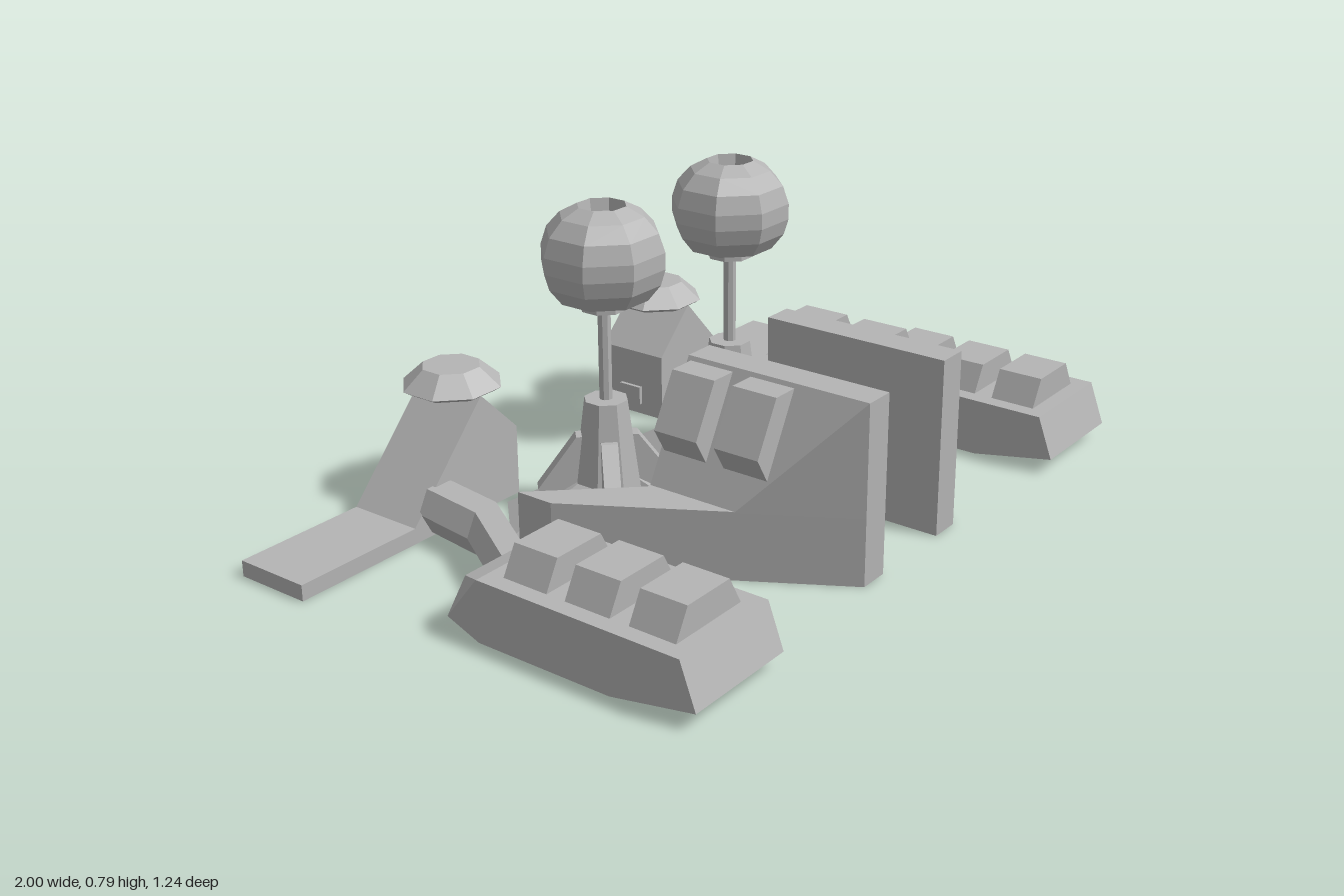
import * as THREE from 'three';
import { ConvexGeometry } from 'three/addons/geometries/ConvexGeometry.js';

const gray = new THREE.MeshStandardMaterial({ color: 0xb4b4b4, flatShading: true, side: THREE.DoubleSide });
gray.name = 'light gray';

const box = (x0, x1, y0, y1, z0, z1) =>
  new THREE.BoxGeometry(x1 - x0, y1 - y0, z1 - z0).translate((x0 + x1) / 2, (y0 + y1) / 2, (z0 + z1) / 2);
const hull = (pts) => new ConvexGeometry(pts.map((p) => new THREE.Vector3(...p)));
const prism = (pts, depth) =>
  new THREE.ExtrudeGeometry(new THREE.Shape(pts.map((p) => new THREE.Vector2(...p))), { depth, bevelEnabled: false });
// Eight-sided turned shape with flat sides facing the axes; radii measured across the flats
const turned = (profile, x, z) =>
  new THREE.LatheGeometry(profile.map(([r, y]) => new THREE.Vector2(r / Math.cos(Math.PI / 8), y)), 8, Math.PI / 8)
    .translate(x, 0, z);

// Mirror in x and restore the facing of every triangle
function mirrored(geometry) {
  const g = geometry.index ? geometry.toNonIndexed() : geometry.clone();
  g.scale(-1, 1, 1);
  const p = g.attributes.position;
  const a = new THREE.Vector3(), b = new THREE.Vector3();
  for (let i = 0; i < p.count; i += 3) {
    a.fromBufferAttribute(p, i + 1);
    b.fromBufferAttribute(p, i + 2);
    p.setXYZ(i + 1, b.x, b.y, b.z);
    p.setXYZ(i + 2, a.x, a.y, a.z);
  }
  g.computeVertexNormals();
  return g;
}

export function createModel() {
  const model = new THREE.Group();
  model.name = 'model';
  const left = new THREE.Group(), right = new THREE.Group();
  left.name = 'leftHalf';
  right.name = 'rightHalf';
  model.add(left, right);
  const add = (name, geometry) => {
    for (const [group, g] of [[left, geometry], [right, mirrored(geometry)]]) {
      const mesh = new THREE.Mesh(g, gray);
      mesh.name = name;
      group.add(mesh);
    }
  };

  // Long pod: side profile with sloped nose, and a tapered tail
  const pod = [];
  for (const [z, y, inset] of [[0.62, 0.04, 0], [0.58, 0.148, 0], [0.4, 0, 0], [0.04, 0, 0],
    [0.04, 0.15, 0], [-0.02, 0.13, 0.03], [-0.05, 0.035, 0]]) {
    pod.push([0.6 + inset, y, z], [0.9 - inset, y, z]);
  }
  add('pod', hull(pod));
  for (const z of [0.08, 0.25, 0.42]) {
    add('podBlock', prism([[0.64, 0.145], [0.86, 0.145], [0.82, 0.218], [0.68, 0.218]], 0.12).translate(0, 0, z));
  }

  // Bent six-sided arm joining pod and tower
  const stations = [[0.71, -0.03], [0.585, -0.23], [0.56, -0.41]];
  const section = ([x, z]) => [[-0.035, 0.12], [0.035, 0.12], [-0.065, 0.065], [0.065, 0.065], [-0.035, 0.01], [0.035, 0.01]]
    .map(([dx, y]) => [x + dx, y, z]);
  for (let i = 0; i < 2; i++) add('arm', hull([...section(stations[i]), ...section(stations[i + 1])]));

  // Gabled tower running out into a flat wing, hollowed underneath
  add('towerAndWing', prism([[0.29, 0.02], [1, 0.02], [1, 0.04], [0.65, 0.04], [0.41, 0.3], [0.29, 0.18]], 0.2)
    .translate(0, 0, -0.6));
  for (const z of [-0.6, -0.43]) add('wingRim', box(0.29, 1, 0, 0.02, z, z + 0.03));
  for (const x of [0.29, 0.62, 0.97]) add('wingCrossbar', box(x, x + 0.03, 0, 0.02, -0.57, -0.43));
  add('towerNub', box(0.28, 0.295, 0.03, 0.08, -0.54, -0.47));
  add('towerCap', turned([[0, 0.295], [0.1, 0.295], [0.117, 0.306], [0.068, 0.354], [0, 0.354]], 0.4, -0.505));

  // Upright slab with a sloped buttress and a low wedge behind
  add('slab', box(0.12, 0.2, 0, 0.448, 0.07, 0.565));
  add('buttress', hull([[0.2, 0.448, 0.565], [0.2, 0.448, 0.07], [0.35, 0.17, 0.07],
    [0.35, 0.17, 0.31], [0.2, 0.17, 0.07], [0.2, 0.17, 0.565]]));
  add('wedge', prism([[0.2, -0.565], [0.56, 0.05], [0.56, 0.15], [0.36, -0.07], [0.2, -0.07]], 0.172)
    .rotateX(-Math.PI / 2));
  for (const z of [0.08, 0.25]) {
    add('buttressBlock', prism([[0.2, 0.438], [0.275, 0.438], [0.345, 0.31], [0.305, 0.243], [0.2, 0.3]], 0.12)
      .translate(0, 0, z));
  }

  // Ball post with pedestal, diagonal legs and split skirt
  const px = 0.25, pz = -0.142;
  add('ball', turned([[0, 0.56], [0.1, 0.56], [0.129, 0.6], [0.14, 0.64], [0.14, 0.68], [0.126, 0.725],
    [0.095, 0.762], [0.055, 0.785], [0.05, 0.755], [0, 0.755]], px, pz));
  add('collar', turned([[0, 0.533], [0.053, 0.533], [0.053, 0.562]], px, pz));
  add('pole', turned([[0.015, 0.29], [0.015, 0.54]], px, pz));
  add('pedestal', turned([[0.08, 0.06], [0.05, 0.305], [0, 0.305]], px, pz));
  for (let i = 0; i < 4; i++) {
    const leg = [];
    for (const s of [-0.02, 0.02]) leg.push([0.04, 0.215, s], [0.075, 0.215, s], [0.17, 0.085, s], [0.15, 0.05, s], [0.04, 0.06, s]);
    add('leg', hull(leg).rotateY(Math.PI / 4 + i * Math.PI / 2).translate(px, 0, pz));
  }
  for (const start of [Math.PI / 8, Math.PI * 9 / 8]) {
    add('skirt', new THREE.CylinderGeometry(0.06, 0.262, 0.11, 3, 1, true, start, Math.PI * 0.75).translate(px, 0.055, pz));
  }
  return model;
}
